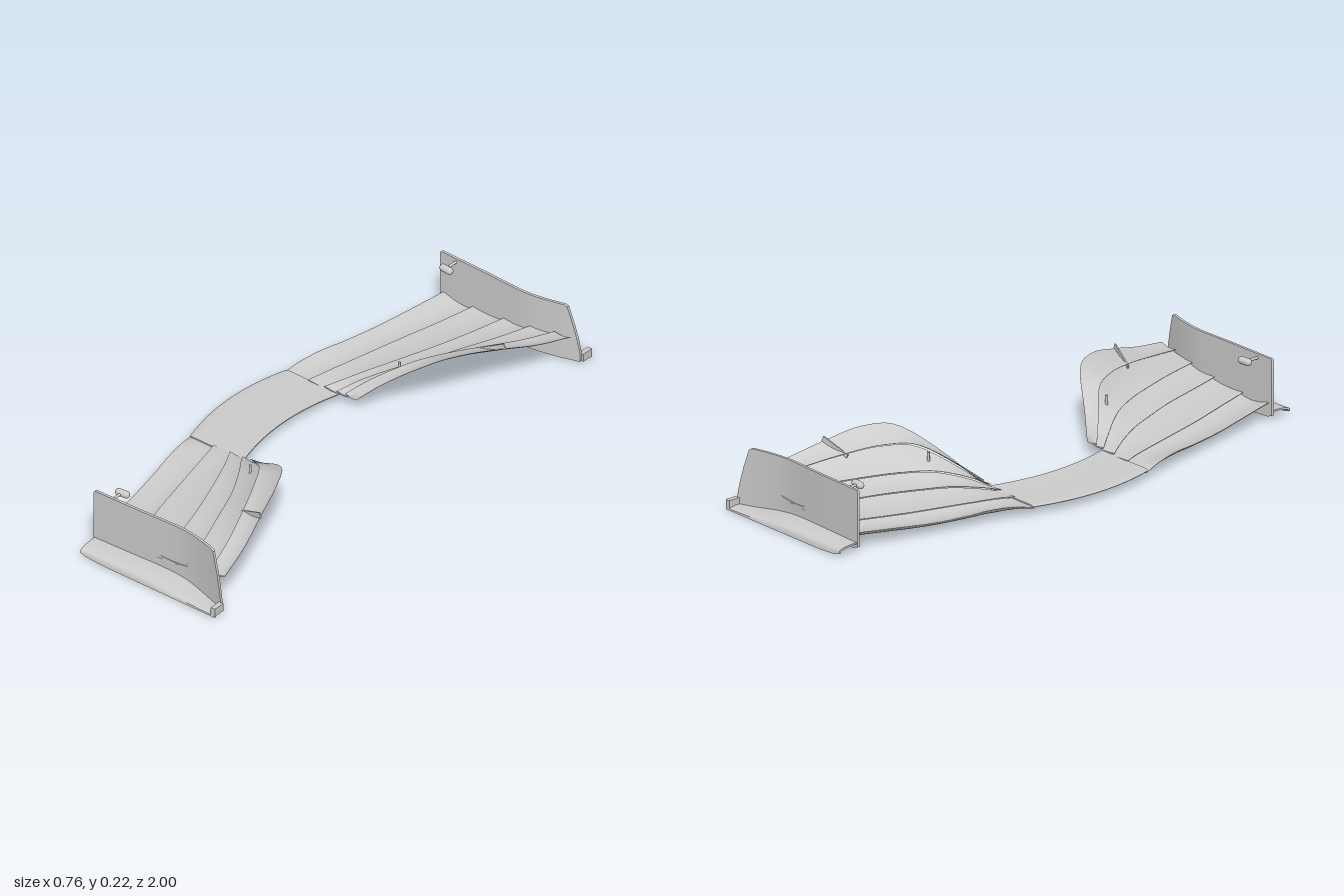
import * as THREE from 'three';
import { toCreasedNormals } from 'three/addons/utils/BufferGeometryUtils.js';

const material = new THREE.MeshStandardMaterial({ color: 0xcccccc, side: THREE.DoubleSide });

// Skin a closed solid through a row of rings with equal point counts.
function loft(name, rings, crease = 0.7) {
  const n = rings[0].length;
  const pos = rings.flat();
  const idx = [];
  for (let i = 0; i < rings.length - 1; i++) {
    for (let j = 0; j < n; j++) {
      const a = i * n + j, b = i * n + (j + 1) % n;
      idx.push(a, b, b + n, a, b + n, a + n);
    }
  }
  // end caps: strips between the two halves of the ring
  const last = (rings.length - 1) * n;
  for (let j = 0; j < n / 2 - 1; j++) {
    const q = [j, j + 1, n - 2 - j, n - 1 - j];
    idx.push(q[0], q[2], q[1], q[0], q[3], q[2]);
    idx.push(...[q[0], q[1], q[2], q[0], q[2], q[3]].map(k => k + last));
  }
  // turn the faces outward whichever way the rings run
  let volume = 0;
  for (let i = 0; i < idx.length; i += 3) {
    volume += pos[idx[i]].dot(pos[idx[i + 1]].clone().cross(pos[idx[i + 2]]));
  }
  if (volume < 0) idx.reverse();
  const g = new THREE.BufferGeometry().setFromPoints(pos);
  g.setIndex(idx);
  const mesh = new THREE.Mesh(toCreasedNormals(g, crease), material);
  mesh.name = name;
  return mesh;
}

// Smooth function through a few samples.
function smooth(ts, vs) {
  const curve = new THREE.CubicInterpolant(ts, vs, 1, new Float32Array(1));
  return t => curve.evaluate(t)[0];
}

// Aerofoil ring: nose and tail points, hollow of the camber, thickness.
function foil(x0, y0, x1, y1, sag, thick, z, steps = 14) {
  const top = [], bottom = [];
  for (let i = 0; i <= steps; i++) {
    const t = (1 - Math.cos(Math.PI * i / steps)) / 2;
    const x = x0 + (x1 - x0) * t;
    const y = y0 + (y1 - y0) * t - 4 * sag * t * (1 - t);
    const h = thick * (1.48 * Math.sqrt(t) * (1 - t) + 0.1 * t + 0.25 * t * (1 - t)) / 1.3;
    top.push(new THREE.Vector3(x, y + h / 2 + 0.0005, z));
    bottom.unshift(new THREE.Vector3(x, y - h / 2 - 0.0005, z));
  }
  return [...top, ...bottom];
}

// Span stations, then the x and y of each element's front edge (last row: rear edge).
const Z = [0.25, 0.3, 0.4, 0.5, 0.64, 0.78, 0.915];
const EDGE_X = [
  [-0.34, -0.329, -0.307, -0.285, -0.255, -0.224, -0.195],
  [-0.24, -0.225, -0.20, -0.175, -0.14, -0.10, -0.065],
  [-0.17, -0.14, -0.09, -0.05, 0, 0.04, 0.075],
  [-0.115, -0.08, -0.01, 0.045, 0.10, 0.15, 0.19],
  [-0.08, -0.03, 0.08, 0.14, 0.20, 0.25, 0.285],
  [-0.03, 0.04, 0.18, 0.24, 0.285, 0.325, 0.355],
].map(v => smooth(Z, v));
const EDGE_Y = [
  [0.025, 0.038, 0.047, 0.043, 0.043, 0.052, 0.062],
  [0.028, 0.032, 0.035, 0.037, 0.04, 0.045, 0.052],
  [0.032, 0.043, 0.058, 0.062, 0.065, 0.065, 0.068],
  [0.036, 0.06, 0.09, 0.095, 0.095, 0.09, 0.085],
  [0.04, 0.085, 0.157, 0.166, 0.148, 0.122, 0.10],
  [0.045, 0.11, 0.205, 0.215, 0.183, 0.142, 0.115],
].map(v => smooth(Z, v));

const lerpRow = (xs, ys) => x => {
  let i = 0;
  while (i < xs.length - 2 && x > xs[i + 1]) i++;
  return THREE.MathUtils.lerp(ys[i], ys[i + 1], (x - xs[i]) / (xs[i + 1] - xs[i]));
};

function buildSide(s) {
  const side = new THREE.Group();
  side.name = s > 0 ? 'frontFacingHalf' : 'rearFacingHalf';

  // main plane and the four slotted flaps behind it
  for (let e = 0; e < 5; e++) {
    const rings = [];
    for (let i = 0; i <= 32; i++) {
      const z = 0.25 + 0.665 * i / 32;
      const lift = e ? 0.008 : 0;
      const grow = Math.min(1, (z - 0.25) / 0.12);
      const sag = e ? 0.002 + 0.006 * grow : 0.004 + 0.012 * grow;
      rings.push(foil(EDGE_X[e](z), EDGE_Y[e](z) + lift,
        EDGE_X[e + 1](z) + (e < 4 ? 0.012 : 0), EDGE_Y[e + 1](z),
        sag, e ? 0.008 + 0.002 * grow : 0.024, z * s));
    }
    side.add(loft(e ? 'flap' + e : 'mainPlane', rings));
  }

  // end plate: upright sheet bending outward at the rear
  const plateZ = smooth([-0.21, 0, 0.18, 0.28, 0.38], [0.918, 0.913, 0.908, 0.926, 0.955]);
  const plateTop = lerpRow([-0.21, -0.205, 0.315, 0.325, 0.345, 0.36, 0.37],
    [0.216, 0.222, 0.222, 0.216, 0.15, 0.09, 0.035]);
  const plateLow = lerpRow([-0.21, -0.19, -0.1, 0.37], [0.018, 0.01, 0.004, 0.004]);
  const plateX = [-0.21, -0.205, -0.19, -0.1, 0, 0.08, 0.14, 0.18, 0.21, 0.24, 0.27, 0.3,
    0.315, 0.325, 0.335, 0.345, 0.353, 0.36, 0.37];
  side.add(loft('endPlate', plateX.map(x => {
    const z = plateZ(x), lo = plateLow(x), hi = plateTop(x);
    return [[lo, -1], [hi, -1], [hi, 1], [lo, 1]]
      .map(([y, k]) => new THREE.Vector3(x, y, s * (z + k * 0.005)));
  })));

  // foot: arched shelf along the outside of the end plate
  const footTop = smooth([-0.2, 0.1, 0.2, 0.3, 0.38], [0.034, 0.034, 0.026, 0.015, 0.012]);
  const footRings = [];
  for (let i = 0; i <= 24; i++) {
    const x = -0.205 + 0.583 * i / 24;
    const inner = plateZ(x), h = footTop(x), lo = plateLow(Math.min(x, 0.37)) - 0.004;
    const outer = [], under = [];
    for (let j = 0; j <= 8; j++) {
      const a = Math.PI / 2 * j / 8;
      const z = inner + (1 - inner) * Math.sin(a);
      const y = lo + (h - lo) * Math.sqrt(Math.cos(a) + 1e-6);
      outer.push(new THREE.Vector3(x, y, s * z));
      under.unshift(new THREE.Vector3(x, Math.max(lo, y - 0.006), s * (z - 0.005 * Math.sin(a))));
    }
    footRings.push([...outer, ...under]);
  }
  side.add(loft('foot', footRings));

  const add = (name, geometry, x, y, z) => {
    const m = new THREE.Mesh(geometry, material);
    m.name = name;
    m.position.set(x, y, z * s);
    side.add(m);
    return m;
  };

  // small upright lip closing the rear of the foot
  add('footLip', new THREE.BoxGeometry(0.018, 0.03, 0.045), 0.37, 0.02, 0.9765);

  // sensor pod on a short stalk inside the end plate
  const pod = add('sensorPod', new THREE.CapsuleGeometry(0.013, 0.03, 6, 16), -0.137, 0.208, 0.858);
  pod.rotation.set(0, s * 0.1, Math.PI / 2);
  const stalk = add('podStalk', new THREE.CylinderGeometry(0.005, 0.005, 0.05, 12), -0.14, 0.208, 0.888);
  stalk.rotation.x = Math.PI / 2;

  // slot bracket that follows the slope of the top flap
  const bracket = add('flapBracket', new THREE.BoxGeometry(0.11, 0.02, 0.005), 0.24, 0.169, 0.635);
  bracket.rotation.set(0, -s * 0.25, 0.42, 'YXZ');
  // adjuster pin near the inner end of the flaps
  add('adjusterPin', new THREE.CylinderGeometry(0.005, 0.005, 0.035, 10), 0.038, 0.135, 0.395);
  return side;
}

export function createModel() {
  const wing = new THREE.Group();
  wing.name = 'frontWing';

  // plain centre section, swept in a gentle bow
  const rings = [];
  for (let i = 0; i <= 24; i++) {
    const z = -0.255 + 0.51 * i / 24;
    const bow = 0.62 * z * z;
    rings.push(foil(-0.38 + bow, 0.03, -0.145 + bow, 0.034, 0.007, 0.032, z));
  }
  wing.add(loft('centreSection', rings));
  wing.add(buildSide(1), buildSide(-1));
  return wing;
}
